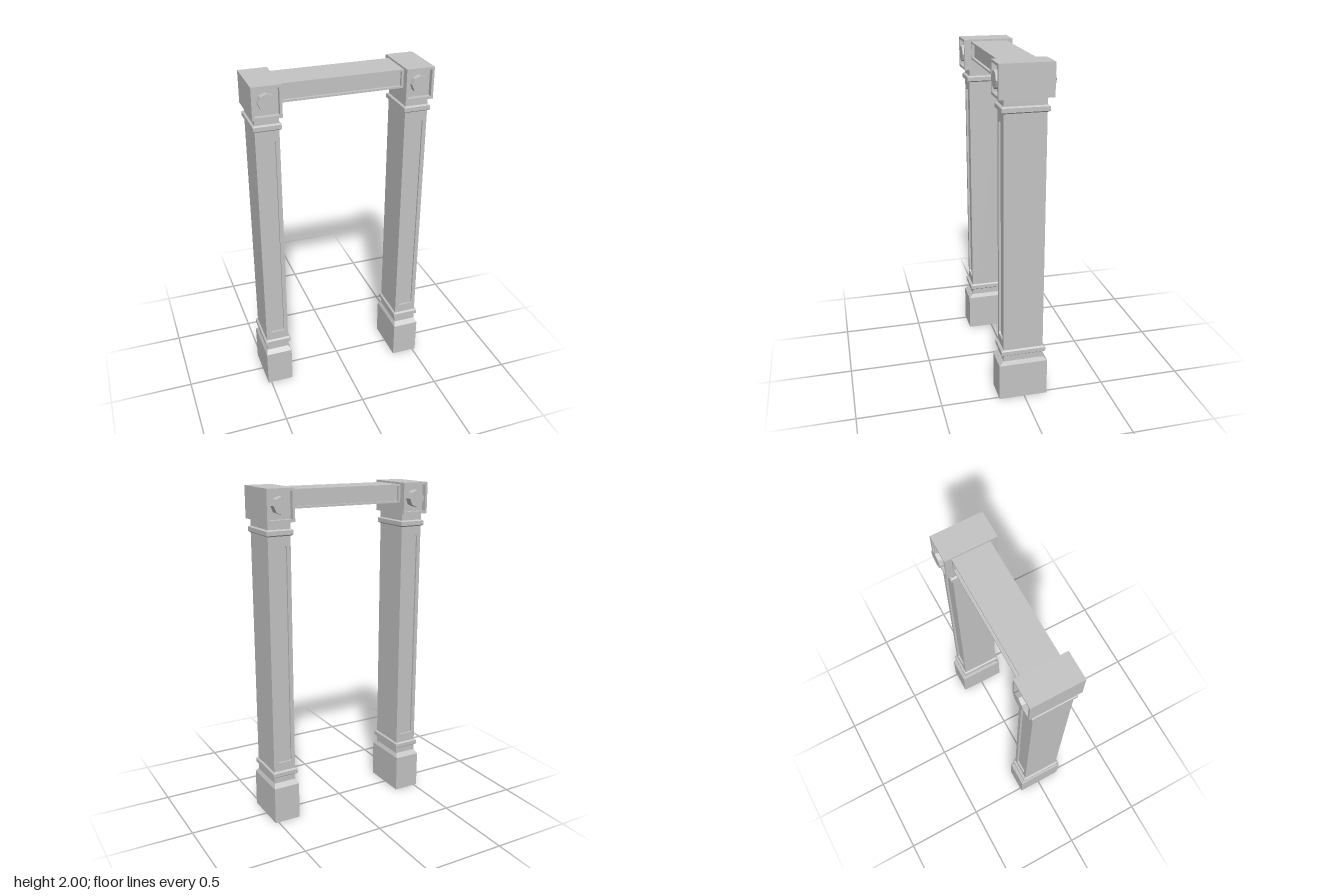
import * as THREE from 'three';

const stone = new THREE.MeshStandardMaterial({ color: 0xc4c4c4 });
stone.name = 'stone grey';

function add(parent, geometry, name, x = 0, y = 0, z = 0) {
  const mesh = new THREE.Mesh(geometry, stone);
  mesh.name = name;
  mesh.position.set(x, y, z);
  parent.add(mesh);
  return mesh;
}

// Rectangle path with small corner cuts, centred on the origin
function rectPath(path, hw, hh, c = 0) {
  const pts = c
    ? [[-hw + c, -hh], [hw - c, -hh], [hw, -hh + c], [hw, hh - c], [hw - c, hh], [-hw + c, hh], [-hw, hh - c], [-hw, -hh + c]]
    : [[-hw, -hh], [hw, -hh], [hw, hh], [-hw, hh]];
  path.setFromPoints(pts.map(([x, y]) => new THREE.Vector2(x, y)));
  path.closePath();
  return path;
}

// Block with a sunken panel on its front and back
function panelBlock(parent, name, w, h, d, panelW, panelH, depth, cut, panelY = 0) {
  const group = new THREE.Group();
  group.name = name;
  parent.add(group);
  add(group, new THREE.BoxGeometry(w, h, d - 2 * depth), name + 'Core');
  const shape = rectPath(new THREE.Shape(), w / 2, h / 2);
  const hole = rectPath(new THREE.Path(), panelW / 2, panelH / 2, cut);
  hole.curves.forEach((c) => { c.v1 = c.v1.clone(); c.v2 = c.v2.clone(); c.v1.y += panelY; c.v2.y += panelY; });
  shape.holes.push(hole);
  const frame = new THREE.ExtrudeGeometry(shape, { depth, bevelEnabled: false });
  add(group, frame, name + 'FrontFrame', 0, 0, d / 2 - depth);
  add(group, frame, name + 'BackFrame', 0, 0, -d / 2);
  return group;
}

// Stacked rectangular sections: each is [y, half width, half depth]
function loft(sections) {
  const pos = [];
  const corners = sections.map(([y, w, d]) => [[-w, y, d], [w, y, d], [w, y, -d], [-w, y, -d]]);
  const quad = (a, b, c, d) => pos.push(...a, ...b, ...c, ...a, ...c, ...d);
  for (let i = 0; i < corners.length - 1; i++) {
    for (let k = 0; k < 4; k++) {
      const n = (k + 1) % 4;
      quad(corners[i][k], corners[i][n], corners[i + 1][n], corners[i + 1][k]);
    }
  }
  const top = corners[corners.length - 1];
  quad(corners[0][3], corners[0][2], corners[0][1], corners[0][0]);
  quad(top[0], top[1], top[2], top[3]);
  const g = new THREE.BufferGeometry();
  g.setAttribute('position', new THREE.Float32BufferAttribute(pos, 3));
  g.computeVertexNormals();
  return g;
}

export function createModel() {
  const model = new THREE.Group();
  model.name = 'doorSurround';

  const base = loft([[0, 0.081, 0.146], [0.228, 0.081, 0.146], [0.252, 0.069, 0.121]]);
  const collar = loft([
    [-0.019, 0.071, 0.123], [-0.012, 0.08, 0.133], [0.012, 0.08, 0.133], [0.019, 0.071, 0.123],
  ]);
  const rosette = new THREE.CylinderGeometry(0.05, 0.05, 0.05, 8).rotateX(Math.PI / 2).toNonIndexed();
  rosette.computeVertexNormals();

  for (const side of [-1, 1]) {
    const post = new THREE.Group();
    post.name = side < 0 ? 'rightPost' : 'leftPost';
    post.position.set(side * 0.439, 0, 0.007);
    model.add(post);

    add(post, base, 'plinth');
    // Shaft with its long sunken panel
    const shaft = panelBlock(post, 'shaft', 0.138, 1.57, 0.238, 0.09, 1.3, 0.012, 0.008, -0.005);
    shaft.position.y = 1.035;
    add(post, collar, 'lowerCollar', 0, 0.308);
    add(post, collar, 'upperCollar', 0, 1.757);

    // Corner block with a rosette in each recess
    const head = panelBlock(post, 'cornerBlock', 0.167, 0.185, 0.305, 0.139, 0.155, 0.03, 0);
    head.position.set(side * 0.001, 1.9075, -0.002);
    add(head, rosette, 'frontRosette', 0, 0, 0.132);
    add(head, rosette, 'backRosette', 0, 0, -0.144);
  }

  // Lintel between the corner blocks
  const lintel = panelBlock(model, 'lintel', 0.714, 0.106, 0.222, 0.688, 0.085, 0.018, 0);
  lintel.position.set(0, 1.936, 0.003);

  return model;
}
